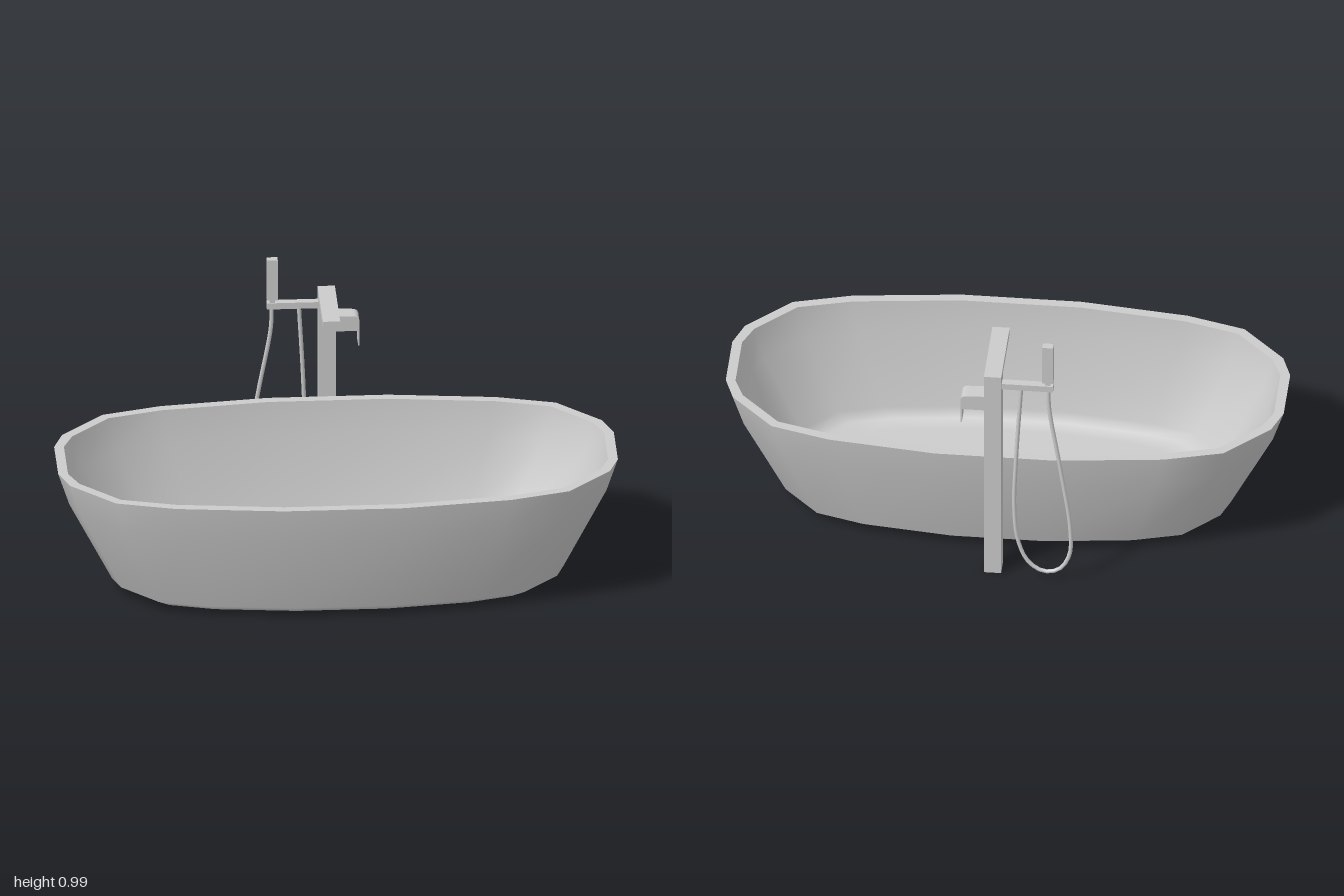
import * as THREE from 'three';

const TUB_Z = 0.045;
const mat = new THREE.MeshStandardMaterial({ color: 0xcccccc });

// One quadrant of the rim outline, mirrored into a closed 20-point ring.
function ring(quadrant) {
  const back = [...quadrant].reverse();
  return [
    ...quadrant,
    ...back.map(([x, z]) => [-x, z]),
    ...quadrant.map(([x, z]) => [-x, -z]),
    ...back.map(([x, z]) => [x, -z]),
  ];
}

// Skin a series of rings; each ring is a list of [x, y, z].
function loft(rings) {
  const n = rings[0].length;
  const index = [];
  for (let i = 0; i < rings.length - 1; i++) {
    for (let j = 0; j < n; j++) {
      const k = (j + 1) % n;
      const a = i * n + j, b = i * n + k, c = a + n, d = b + n;
      index.push(a, c, b, b, c, d);
    }
  }
  const g = new THREE.BufferGeometry();
  g.setAttribute('position', new THREE.Float32BufferAttribute(rings.flat(2), 3));
  g.setIndex(index);
  g.computeVertexNormals();
  return g;
}

// Rings from an outline and a profile of [height, x scale, z scale].
const rings = (outline, profile) =>
  profile.map(([y, sx, sz]) => outline.map(([x, z]) => [x * sx, y, z * sz]));

function add(parent, name, geometry, x = 0, y = 0, z = 0) {
  const mesh = new THREE.Mesh(geometry, mat);
  mesh.name = name;
  mesh.position.set(x, y, z);
  parent.add(mesh);
  return mesh;
}

// Box given by its minimum and maximum corners.
function addBox(parent, name, [x0, y0, z0], [x1, y1, z1]) {
  return add(parent, name, new THREE.BoxGeometry(x1 - x0, y1 - y0, z1 - z0),
    (x0 + x1) / 2, (y0 + y1) / 2, (z0 + z1) / 2);
}

function createTub() {
  const tub = new THREE.Group();
  tub.name = 'bathtub';
  tub.position.z = TUB_Z;
  const outer = ring([[1, 0.115], [0.965, 0.215], [0.81, 0.375], [0.6, 0.435], [0.215, 0.48]]);
  const inner = ring([[0.965, 0.115], [0.93, 0.2], [0.79, 0.345], [0.595, 0.4], [0.215, 0.445]]);
  const top = 0.462;

  // Outer shell, from the middle of the underside up to the rim
  add(tub, 'outerShell', loft(rings(outer, [
    [0, 0, 0], [0, 0.67, 0.66], [0.012, 0.755, 0.745], [0.038, 0.807, 0.815],
    [0.34, 0.96, 0.96], [top, 1, 1],
  ])));
  // Flat rim
  add(tub, 'rim', loft([...rings(outer, [[top, 1, 1]]), ...rings(inner, [[top, 1, 1]])]));
  // Basin, from the rim down to the middle of the floor
  add(tub, 'basin', loft(rings(inner, [
    [top, 1, 1], [0.34, 0.962, 0.965], [0.055, 0.81, 0.82],
    [0.028, 0.755, 0.75], [0.016, 0.66, 0.65], [0.016, 0, 0],
  ])));
  return tub;
}

function createTap() {
  const tap = new THREE.Group();
  tap.name = 'floorTap';
  const front = -0.435, back = -0.503;

  // Column and spout
  addBox(tap, 'column', [-0.031, 0, back], [0.031, 0.84, front]);
  addBox(tap, 'spout', [-0.031, 0.84, back], [0.031, 0.865, -0.2]);

  // Lever: block with a rounded top that turns down into a thin lip
  const s = new THREE.Shape();
  s.moveTo(0.03, 0.715);
  s.lineTo(0.11, 0.715);
  s.lineTo(0.11, 0.658);
  s.lineTo(0.115, 0.658);
  s.lineTo(0.115, 0.752);
  s.quadraticCurveTo(0.115, 0.773, 0.09, 0.773);
  s.lineTo(0.03, 0.775);
  s.closePath();
  add(tap, 'lever', new THREE.ExtrudeGeometry(s, {
    depth: front - back - 0.004, bevelEnabled: false, curveSegments: 5,
  }), 0, 0, back + 0.002);

  // Holder arm and hand shower
  addBox(tap, 'holderArm', [-0.215, 0.8, -0.484], [-0.03, 0.824, -0.455]);
  addBox(tap, 'showerNeck', [-0.205, 0.824, -0.478], [-0.185, 0.838, -0.459]);
  addBox(tap, 'handShower', [-0.215, 0.836, -0.482], [-0.176, 0.993, -0.454]);

  // Hose looping down from the hand shower and back to the arm
  const path = new THREE.CatmullRomCurve3([
    [-0.197, 0.81, -0.469], [-0.2, 0.72, -0.472], [-0.242, 0.47, -0.492],
    [-0.28, 0.22, -0.513], [-0.277, 0.11, -0.52], [-0.24, 0.047, -0.521],
    [-0.185, 0.033, -0.519], [-0.13, 0.07, -0.517], [-0.092, 0.16, -0.513],
    [-0.078, 0.3, -0.503], [-0.083, 0.5, -0.488], [-0.1, 0.81, -0.47],
  ].map((p) => new THREE.Vector3(...p)));
  add(tap, 'hose', new THREE.TubeGeometry(path, 60, 0.0075, 8));
  return tap;
}

export function createModel() {
  const model = new THREE.Group();
  model.name = 'freestandingBath';
  model.add(createTub(), createTap());
  return model;
}
